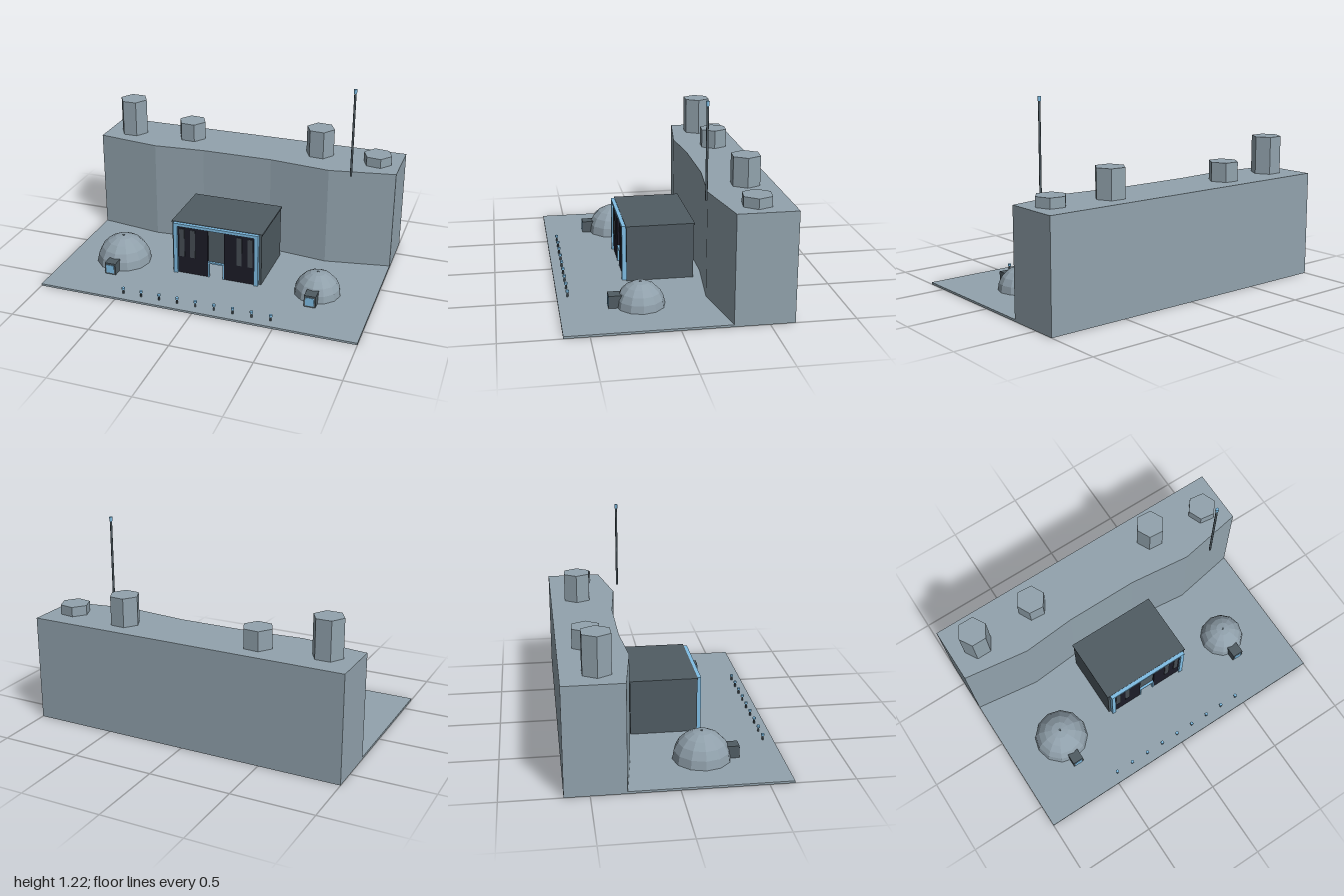
import * as THREE from 'three';

const mat = (name, color, flat = false) =>
  Object.assign(new THREE.MeshStandardMaterial({ color, flatShading: flat }), { name });

export function createModel() {
  const rock = mat('rock grey', 0x92a3ad, true);
  const shell = mat('dome grey', 0x90a0ab, true);
  const steel = mat('dark steel', 0x505c63);
  const doorDark = mat('door dark', 0x1b1b27);
  const stripGrey = mat('strip grey', 0x454c53);
  const blue = mat('light blue', 0x80bee5);

  const model = new THREE.Group();
  const GROUND = 0.013;

  const add = (name, geometry, material, x, y, z) => {
    const mesh = new THREE.Mesh(geometry, material);
    mesh.name = name;
    mesh.position.set(x, y, z);
    model.add(mesh);
    return mesh;
  };
  // box given by its ranges on each axis
  const box = (name, material, x0, x1, y0, y1, z0, z1) =>
    add(name, new THREE.BoxGeometry(x1 - x0, y1 - y0, z1 - z0), material,
      (x0 + x1) / 2, (y0 + y1) / 2, (z0 + z1) / 2);
  // upright cylinder given by its height range
  const post = (name, material, r, sides, x, y0, y1, z) =>
    add(name, new THREE.CylinderGeometry(r, r, y1 - y0, sides), material, x, (y0 + y1) / 2, z);

  // ground slab with a dark underside
  box('ground', [rock, rock, rock, steel, rock, rock], -1, 1, 0, GROUND, -0.645, 0.645);

  // cliff with a faceted front, extruded upward from its plan
  const plan = [[-1, -0.645], [1, -0.645], [1, -0.295], [0.59, -0.222], [0.2, -0.265],
    [-0.26, -0.265], [-0.59, -0.238], [-1, -0.295]];
  const cliffShape = new THREE.Shape(plan.map(([x, z]) => new THREE.Vector2(x, -z)));
  const cliffGeo = new THREE.ExtrudeGeometry(cliffShape, { depth: 0.655 - 0.006, bevelEnabled: false });
  cliffGeo.rotateX(-Math.PI / 2);
  add('cliff', cliffGeo, rock, 0, 0.006, 0);

  // hexagonal rock columns on the cliff
  for (const [x, z, top, turn] of [[-0.823, -0.44, 0.89, 0], [-0.412, -0.472, 0.773, 0.07],
    [0.47, -0.472, 0.833, 0.07], [0.853, -0.443, 0.715, 0.14]]) {
    post('rockColumn', rock, 0.0925, 6, x, 0.64, top, z).rotation.y = Math.PI / 6 - turn;
  }

  // antenna mast
  post('mast', steel, 0.007, 8, 0.74, 0.655, 1.195, -0.183);
  post('mastLight', blue, 0.01, 8, 0.74, 1.19, 1.217, -0.183);

  // hollow hangar: back, front lintel above the entry, roof
  box('hangarBack', steel, -0.293, 0.293, GROUND, 0.353, -0.205, -0.193);
  box('hangarLintel', steel, -0.053, 0.053, 0.115, 0.353, 0.195, 0.207);
  box('hangarRoof', steel, -0.297, 0.297, 0.352, 0.363, -0.213, 0.21);

  // hangar walls, doors and frame
  box('frameTop', blue, -0.278, 0.278, 0.341, 0.36, 0.207, 0.233);
  for (const s of [-1, 1]) {
    const mirrored = (name, material, a, b, ...rest) =>
      box(name, material, Math.min(s * a, s * b), Math.max(s * a, s * b), ...rest);
    mirrored('hangarSide', steel, 0.281, 0.293, GROUND, 0.353, -0.193, 0.207);
    mirrored('hangarFront', steel, 0.053, 0.281, GROUND, 0.353, 0.195, 0.207);
    mirrored('frameSide', blue, 0.253, 0.278, GROUND, 0.341, 0.207, 0.233);
    mirrored('hangarDoor', doorDark, 0.054, 0.253, GROUND, 0.341, 0.205, 0.22);
    for (const x of [0.137, 0.208])
      mirrored('doorStrip', stripGrey, x, x + 0.033, 0.13, 0.322, 0.219, 0.224);
    mirrored('entryFrameSide', blue, 0.045, 0.053, GROUND, 0.108, 0.206, 0.222);
  }
  box('entryFrameTop', blue, -0.053, 0.053, 0.108, 0.117, 0.206, 0.222);

  // domes, each with a small airlock
  for (const [x, z, r] of [[-0.648, 0.175, 0.174], [0.645, 0.175, 0.144]]) {
    add('dome', new THREE.SphereGeometry(r, 12, 5, 0, Math.PI * 2, 0, Math.PI / 2), shell, x, GROUND, z);
    post('domeCap', steel, 0.008, 8, x, GROUND + r - 0.005, GROUND + r + 0.001, z);
    const front = z + r + 0.044;
    box('airlock', steel, x - 0.036, x + 0.036, GROUND, 0.088, front - 0.09, front);
    box('airlockDoor', blue, x - 0.026, x + 0.026, 0.023, 0.076, front - 0.002, front + 0.003);
  }

  // row of ground lights
  for (let i = 0; i < 9; i++) {
    const x = -0.47 + i * 0.1175;
    post('lightPost', steel, 0.006, 8, x, GROUND, 0.043, 0.582);
    post('lightCap', blue, 0.0105, 8, x, 0.041, 0.053, 0.582);
  }

  return model;
}
